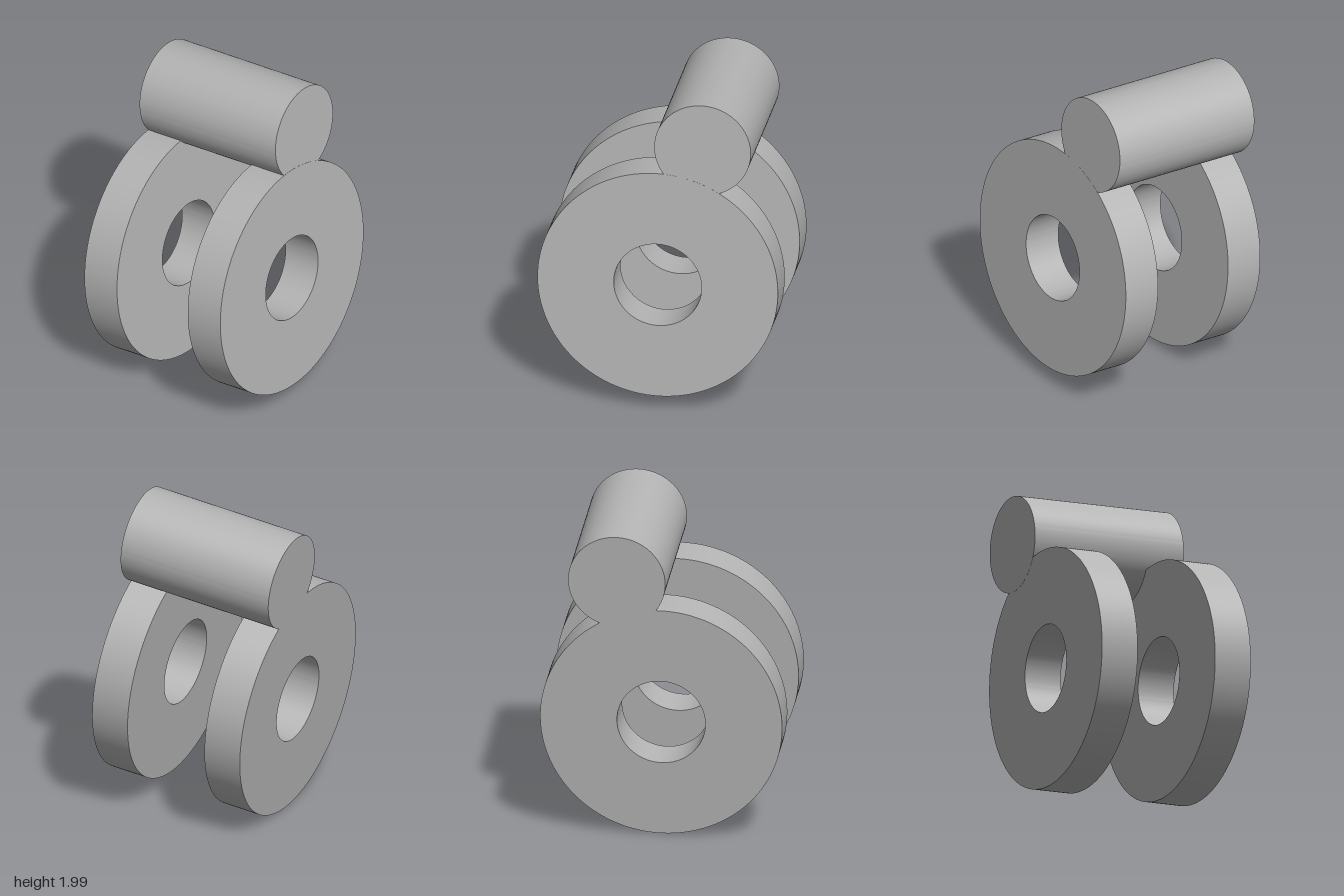
import * as THREE from 'three';
import { toCreasedNormals } from 'three/addons/utils/BufferGeometryUtils.js';

export function createModel() {
  const model = new THREE.Group();
  model.name = 'twinRingLink';
  const grey = new THREE.MeshStandardMaterial({ color: 0xb4b4b4 });
  grey.name = 'plainGrey';

  // All parts share one tilted axis
  const axis = new THREE.Vector3(0.157, 0.101, 0.982).normalize();
  const tilt = new THREE.Quaternion().setFromUnitVectors(new THREE.Vector3(0, 0, 1), axis);

  // Round part whose front face is centred on the given point, set back along the axis
  function addRound(name, centre, setback, radius, holeRadius, depth) {
    const shape = new THREE.Shape().absarc(0, 0, radius, 0, Math.PI * 2, false);
    if (holeRadius > 0) {
      shape.holes.push(new THREE.Path().absarc(0, 0, holeRadius, 0, Math.PI * 2, true));
    }
    const geometry = new THREE.ExtrudeGeometry(shape, { depth, bevelEnabled: false, curveSegments: 96 });
    geometry.translate(0, 0, -depth);
    const mesh = new THREE.Mesh(toCreasedNormals(geometry, Math.PI / 6), grey);
    mesh.name = name;
    mesh.quaternion.copy(tilt);
    mesh.position.copy(centre).addScaledVector(axis, -setback);
    model.add(mesh);
  }

  const length = 0.99;
  const thickness = 0.237;
  const ringCentre = new THREE.Vector3(0.075, 0.822, 0.513);
  const pinCentre = new THREE.Vector3(0.31, 1.712, 0.383);

  // Two pierced discs joined by a solid pin, flush at both ends
  addRound('frontRing', ringCentre, 0, 0.72, 0.263, thickness);
  addRound('backRing', ringCentre, length - thickness, 0.72, 0.263, thickness);
  addRound('connectingPin', pinCentre, 0, 0.289, 0, length);

  return model;
}
